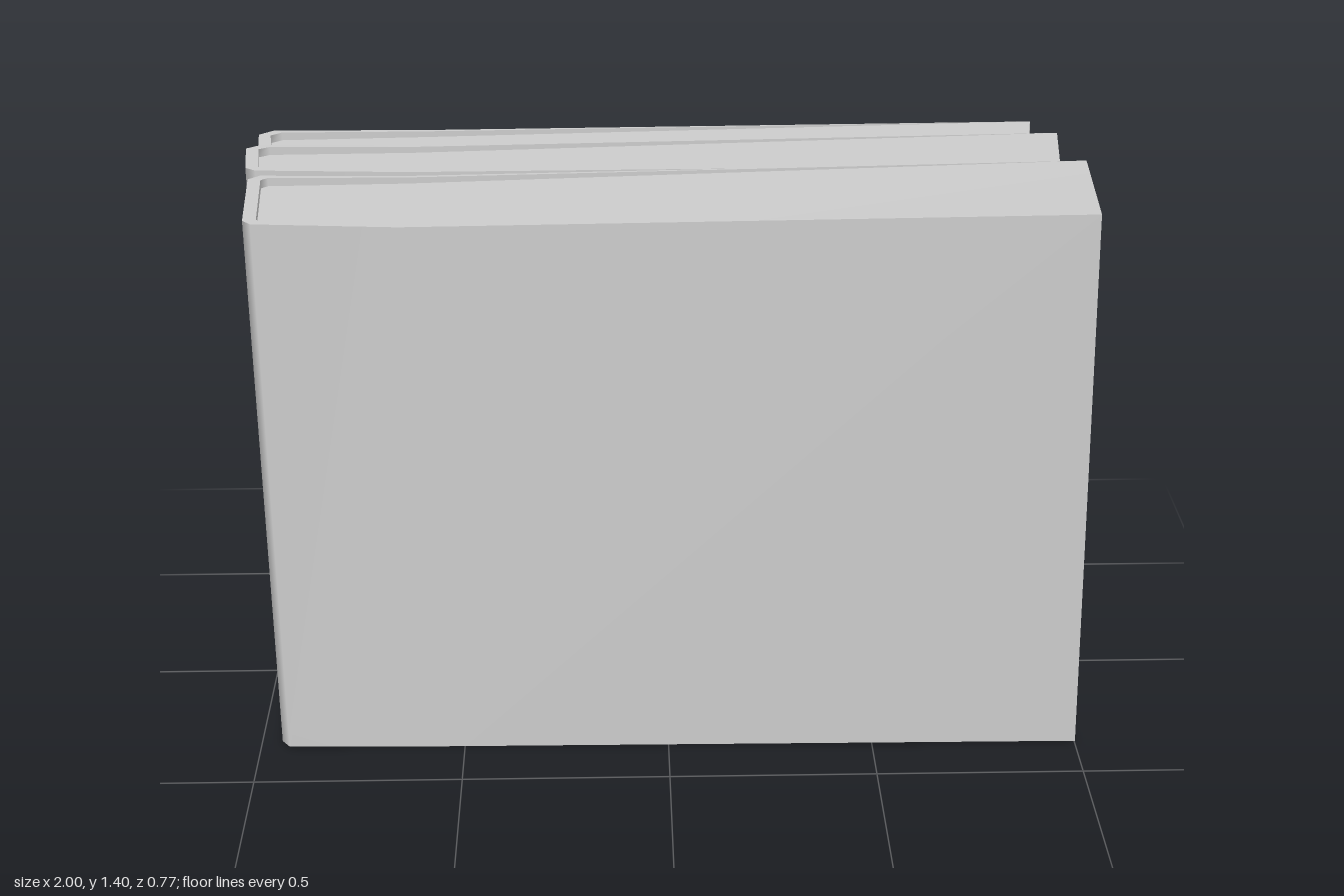
import * as THREE from 'three';
import { mergeGeometries } from 'three/addons/utils/BufferGeometryUtils.js';

// Four stations per side, from spine to fore edge: [x, z] at the bottom, [x, z] at the top.
// top: height per station for each side.
const BOOKS = [
  {
    name: 'frontBook',
    front: [[-0.95, 0.33, -0.945, 0.33], [-0.93, 0.355, -0.925, 0.352], [-0.6, 0.362, -0.6, 0.36], [1, 0.38, 0.955, 0.387]],
    back: [[-0.97, 0.07, -0.965, 0.075], [-0.945, 0.042, -0.94, 0.052], [-0.6, 0.037, -0.6, 0.043], [0.98, 0.03, 0.98, 0.05]],
    top: { front: [1.38, 1.38, 1.373, 1.4], back: [1.38, 1.38, 1.373, 1.4] },
  },
  {
    name: 'middleBook',
    front: [[-0.98, 0, -0.98, 0], [-0.955, 0.02, -0.955, 0.018], [-0.6, 0.018, -0.6, 0.018], [0.96, 0.035, 0.92, 0.048]],
    back: [[-1, -0.135, -0.995, -0.13], [-0.965, -0.166, -0.96, -0.155], [-0.6, -0.172, -0.6, -0.161], [0.95, -0.17, 0.945, -0.153]],
    top: { front: [1.38, 1.38, 1.373, 1.389], back: [1.38, 1.38, 1.373, 1.395] },
  },
  {
    name: 'backBook',
    front: [[-0.98, -0.215, -0.98, -0.215], [-0.955, -0.197, -0.955, -0.203], [-0.6, -0.2, -0.6, -0.207], [0.96, -0.183, 0.88, -0.167]],
    back: [[-1, -0.35, -0.995, -0.35], [-0.965, -0.375, -0.96, -0.38], [-0.6, -0.381, -0.6, -0.388], [0.95, -0.379, 0.915, -0.361]],
    top: { front: [1.335, 1.335, 1.33, 1.342], back: [1.335, 1.335, 1.33, 1.35] },
  },
];

// Cover thickness and page recess fade out towards the fore edge
const INSET_X = [0.03, 0.02, 0, 0];
const INSET_Z = [0.006, 0.016, 0.01, 0];
const RECESS = [0.02, 0.02, 0.015, 0];
const BOTTOM = { front: [0.003, 0.003, 0.003, 0.007], back: [0, 0, 0, 0.025] };

// Smooth strip between two rows of points, lower row first
function strip(lower, upper) {
  const n = lower.length;
  const geometry = new THREE.BufferGeometry().setFromPoints([...lower, ...upper]);
  const index = [];
  for (let i = 0; i < n - 1; i++) {
    index.push(i, i + 1, n + i + 1, i, n + i + 1, n + i);
  }
  geometry.setIndex(index);
  geometry.computeVertexNormals();
  return geometry;
}

function bookGeometry(book) {
  const bottomSide = (key) => book[key].map(([x, z], i) =>
    new THREE.Vector3(x, BOTTOM[key][i], z));
  const topSide = (key, inset, drop) => book[key].map(([, , x, z], i) =>
    new THREE.Vector3(
      x + inset * INSET_X[i],
      book.top[key][i] - drop * RECESS[i],
      z + (key === 'front' ? -1 : 1) * inset * INSET_Z[i]));

  // Each path runs from the back fore edge round the spine to the front fore edge
  const path = (side) => [...side('back').reverse(), ...side('front')];
  const base = path(bottomSide);
  const cover = path((key) => topSide(key, 0, 0));
  const rim = path((key) => topSide(key, 1, 0));
  const page = path((key) => topSide(key, 1, 1));

  // The underside is left open
  return mergeGeometries([
    strip(base, cover), // cover and spine
    strip([base[7], base[0]], [cover[7], cover[0]]), // fore edge
    strip(cover, rim), // cover rim
    strip(rim, page), // step down to the pages
    strip(page.slice(4), page.slice(0, 4).reverse()), // page top
  ]);
}

export function createModel() {
  const group = new THREE.Group();
  group.name = 'bookRow';
  const material = new THREE.MeshStandardMaterial({ color: 0xcccccc, side: THREE.DoubleSide });
  for (const book of BOOKS) {
    const mesh = new THREE.Mesh(bookGeometry(book), material);
    mesh.name = book.name;
    group.add(mesh);
  }
  return group;
}
